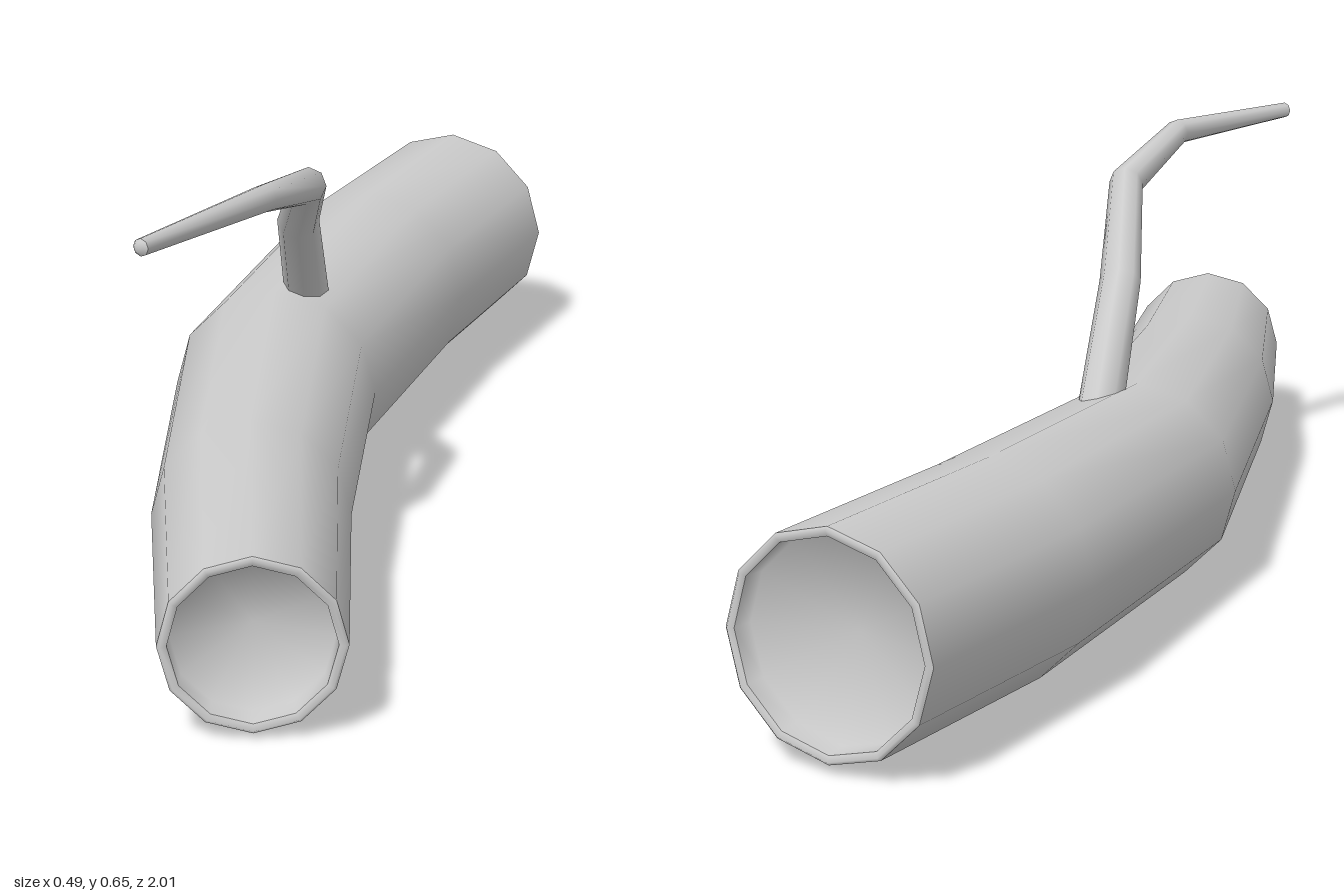
import * as THREE from 'three';
import { mergeVertices } from 'three/addons/utils/BufferGeometryUtils.js';

const V = (x, y, z) => new THREE.Vector3(x, y, z);
const UP = V(0, 1, 0);

// Skins a list of rings { c: centre, t: direction, r: radius } with smooth normals
function skin(rings, sides) {
  const pos = [], idx = [];
  for (const { c, t, r } of rings) {
    const u = UP.clone().cross(t).normalize();
    const v = t.clone().cross(u).normalize();
    for (let j = 0; j < sides; j++) {
      const a = (j / sides) * Math.PI * 2;
      const p = c.clone().addScaledVector(u, r * Math.cos(a)).addScaledVector(v, r * Math.sin(a));
      pos.push(p.x, p.y, p.z);
    }
  }
  for (let i = 0; i < rings.length - 1; i++) {
    for (let j = 0; j < sides; j++) {
      const k = (j + 1) % sides;
      const a = i * sides + j, b = i * sides + k;
      idx.push(a, b, b + sides, a, b + sides, a + sides);
    }
  }
  let g = new THREE.BufferGeometry();
  g.setAttribute('position', new THREE.Float32BufferAttribute(pos, 3));
  g.setIndex(idx);
  g = mergeVertices(g, 1e-5);
  g.computeVertexNormals();
  return g;
}

// Rings along a path of [x, y, z, radius], mitred at the bends
function pathRings(path) {
  const pts = path.map(([x, y, z]) => V(x, y, z));
  return path.map((p, i) => {
    const t = V(0, 0, 0);
    if (i > 0) t.add(pts[i].clone().sub(pts[i - 1]).normalize());
    if (i < pts.length - 1) t.add(pts[i + 1].clone().sub(pts[i]).normalize());
    return { c: pts[i], t: t.normalize(), r: p[3] };
  });
}

// Rings that close an end; profile is [outward offset, radius change or null for the centre]
function endRings(ring, sign, profile) {
  const t = ring.t.clone().multiplyScalar(sign);
  return profile.map(([d, dr]) => ({
    c: ring.c.clone().addScaledVector(t, d), t, r: dr === null ? 0 : ring.r + dr,
  }));
}

export function createModel() {
  const group = new THREE.Group();
  const material = new THREE.MeshStandardMaterial({ color: 0xcccccc });
  const add = (name, geometry) => {
    const mesh = new THREE.Mesh(geometry, material);
    mesh.name = name;
    group.add(mesh);
  };

  // Bent trunk, thicker toward the back
  const trunk = pathRings([
    [0.03, 0.187, -0.98, 0.17],
    [-0.045, 0.178, -0.575, 0.172],
    [-0.087, 0.165, -0.035, 0.163],
    [0.005, 0.155, 0.515, 0.147],
    [0.115, 0.14, 0.962, 0.13],
  ]);
  add('trunk', skin(trunk, 12));

  // Rounded rims with hollowed ends
  const rim = [[0, 0], [0.005, -0.005], [0, -0.014]];
  const hollow = [[0, -0.014], [-0.035, -0.017], [-0.08, null]];
  for (const [name, ring, sign] of [['front', trunk[4], 1], ['back', trunk[0], -1]]) {
    add(name + 'Rim', skin(endRings(ring, sign, rim), 12));
    add(name + 'Hollow', skin(endRings(ring, sign, hollow), 12));
  }

  // Tapering branch with a blunt tip
  const branch = pathRings([
    [-0.055, 0.28, -0.13, 0.037],
    [-0.031, 0.472, 0.045, 0.033],
    [0.032, 0.587, 0.255, 0.028],
    [0.021, 0.63, 0.49, 0.021],
    [-0.088, 0.627, 0.762, 0.013],
  ]);
  add('branch', skin(branch, 8));
  add('branchTip', skin(endRings(branch[4], 1, [[0, 0], [0.005, -0.005], [0.005, null]]), 8));

  return group;
}
